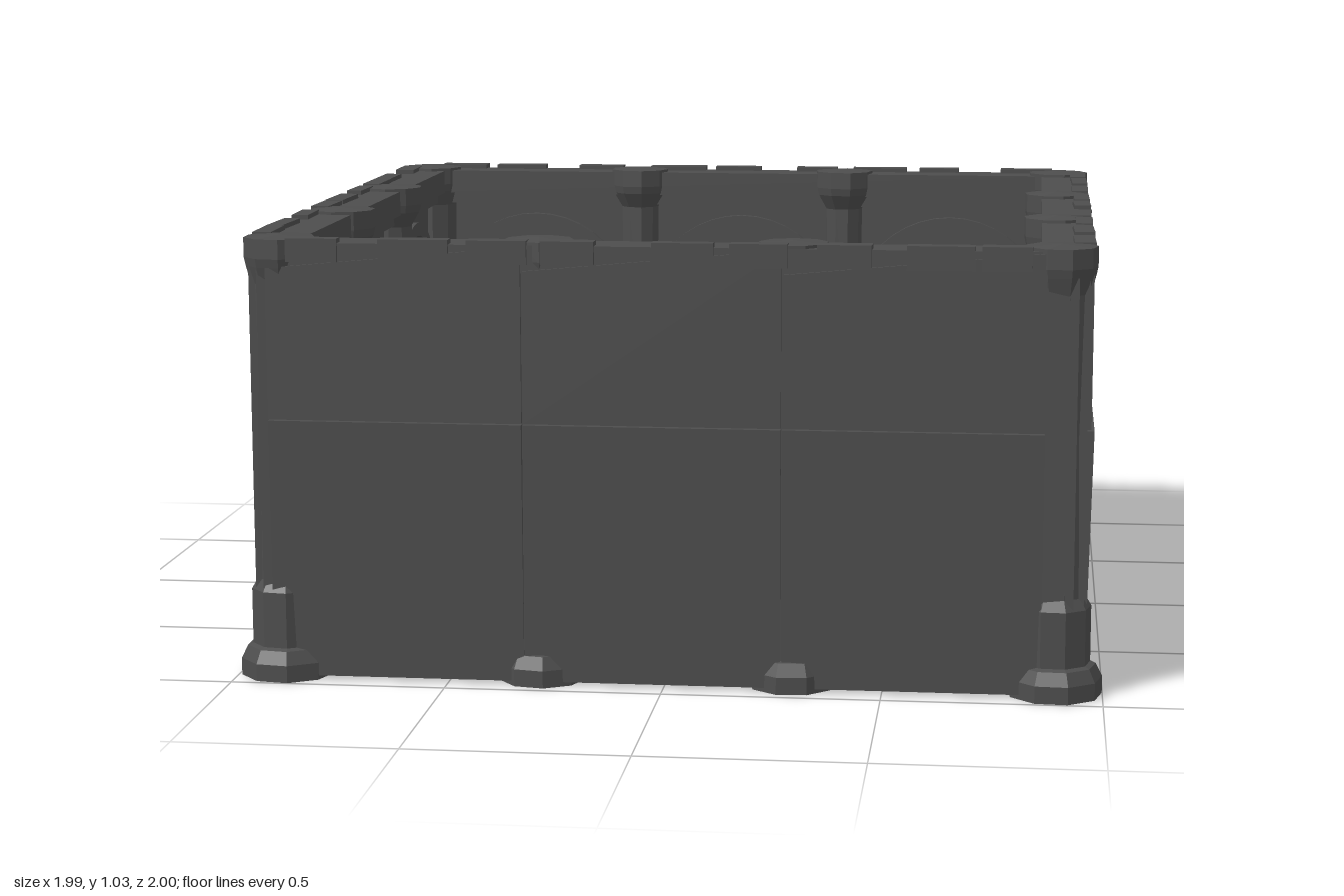
import * as THREE from 'three';

const BAY = 0.59;

// small seeded generator for hand-hewn irregularity
function makeRandom(seed) {
  return () => {
    seed = (seed * 16807) % 2147483647;
    return seed / 2147483647;
  };
}

export function createModel() {
  const stone = new THREE.MeshStandardMaterial({ color: 0x4d4d4d, flatShading: true });
  stone.name = 'darkStone';
  const random = makeRandom(71);
  const model = new THREE.Group();
  model.name = 'arcadedRoom';

  function add(parent, name, geometry, x = 0, y = 0, z = 0) {
    const mesh = new THREE.Mesh(geometry, stone);
    mesh.name = name;
    mesh.position.set(x, y, z);
    parent.add(mesh);
    return mesh;
  }

  // box given by its limits
  function block(parent, name, x0, x1, y0, y1, z0, z1) {
    return add(parent, name, new THREE.BoxGeometry(x1 - x0, y1 - y0, z1 - z0),
      (x0 + x1) / 2, (y0 + y1) / 2, (z0 + z1) / 2);
  }

  function extrude(points, depth) {
    const shape = new THREE.Shape(points.map(([x, y]) => new THREE.Vector2(x, y)));
    return new THREE.ExtrudeGeometry(shape, { depth, bevelEnabled: false });
  }

  // column: stepped foot, faceted shaft, flared capital
  function column(parent, name, x, z, foot, tier, shaft, cap) {
    const profile = [
      [0, 0], [foot, 0], [foot, 0.04], [foot * 0.86, 0.07], [tier, 0.075], [tier, 0.205],
      [shaft, 0.23], [shaft * 0.94, 0.6], [shaft, 0.92], [cap * 0.95, 0.96], [cap, 0.98],
      [cap, 1.025], [0, 1.03],
    ].map(([r, y]) => new THREE.Vector2(r, y));
    const mesh = add(parent, name, new THREE.LatheGeometry(profile, 9), x, 0, z);
    mesh.rotation.y = random() * Math.PI;
  }

  // half ring moulding standing on the springing line
  function archRing(parent, name, x, y, outer, inner, z0, z1) {
    const shape = new THREE.Shape();
    shape.absarc(0, 0, outer, 0, Math.PI, false);
    shape.absarc(0, 0, inner, Math.PI, 0, true);
    add(parent, name, new THREE.ExtrudeGeometry(shape,
      { depth: z1 - z0, bevelEnabled: false, curveSegments: 10 }), x, y, z0);
  }

  // one wall, built facing +z with its inner side towards -z
  function wall() {
    const group = new THREE.Group();
    block(group, 'wallCore', -0.93, 0.93, 0.01, 0.96, 0.93, 0.954);
    block(group, 'topBeam', -0.9, 0.9, 0.955, 1.018, 0.845, 0.956);
    block(group, 'beamMoulding', -0.88, 0.88, 0.925, 0.955, 0.865, 0.935);

    for (let i = -1; i <= 1; i++) {
      const cx = i * BAY;

      // outer facing: lower slab leans out, upper slab has a slanting top
      const px0 = cx - 0.022 - BAY / 2, px1 = px0 + BAY - 0.004;
      const slab = new THREE.BoxGeometry(px1 - px0, 0.6, 0.02, 1, 3, 1);
      const pos = slab.attributes.position;
      for (let k = 0; k < pos.count; k++) {
        if (pos.getZ(k) > 0) pos.setZ(k, 0.006 + 0.013 * (pos.getY(k) + 0.3) / 0.6);
      }
      add(group, 'lowerSlab', slab, (px0 + px1) / 2, 0.31, 0.951);
      add(group, 'upperSlab',
        extrude([[px0, 0.613], [px1, 0.613], [px1, 1.015], [px0, 0.96]], 0.015), 0, 0, 0.948);

      // inner arch: spandrel plate and two stepped rings
      const spring = 0.62, r = 0.25;
      const plate = [[-BAY / 2, 0.95], [-BAY / 2, spring]];
      for (let k = 0; k <= 14; k++) {
        const a = Math.PI * (1 - k / 14);
        plate.push([r * Math.cos(a), spring + r * Math.sin(a)]);
      }
      plate.push([BAY / 2, spring], [BAY / 2, 0.95]);
      add(group, 'spandrel', extrude(plate, 0.035), cx, 0, 0.895);
      archRing(group, 'outerArch', cx, spring, 0.275, 0.238, 0.876, 0.932);
      archRing(group, 'innerArch', cx, spring, 0.24, 0.208, 0.9, 0.932);

      // raised bricks on the inner face, in staggered rows
      for (let row = 0; row < 6; row++) {
        const count = row === 5 ? 1 : 2;
        for (let k = 0; k < count; k++) {
          const x = cx + (k - (count - 1) / 2) * 0.23 + (row % 2 ? 0.045 : -0.045)
            + (random() - 0.5) * 0.05;
          const w = 0.1 + random() * 0.05, y = 0.1 + row * 0.12;
          const brick = block(group, 'raisedBrick', x - w / 2, x + w / 2, y, y + 0.05,
            0.908 + random() * 0.008, 0.935);
          brick.rotation.z = (random() - 0.5) * 0.06;
        }
      }

      // coping stones along the outer top edge
      for (const dx of [-0.2, 0.03, 0.2]) {
        const x = cx + dx + (random() - 0.5) * 0.04, w = 0.11 + random() * 0.05;
        const stoneBlock = block(group, 'copingStone', x - w / 2, x + w / 2, 0.975, 1.029,
          0.915 + random() * 0.015, 0.966);
        stoneBlock.rotation.y = (random() - 0.5) * 0.06;
      }
    }

    for (const x of [-0.29, 0.29]) {
      column(group, 'wallColumn', x, 0.88, 0.102, 0.07, 0.052, 0.08);
    }
    column(group, 'cornerColumn', 0.89, 0.89, 0.11, 0.082, 0.067, 0.082);
    return group;
  }

  // four walls, each with its own corner column
  ['frontWall', 'leftWall', 'backWall', 'rightWall'].forEach((name, i) => {
    const side = wall();
    side.name = name;
    side.rotation.y = i * Math.PI / 2;
    model.add(side);
  });
  return model;
}
